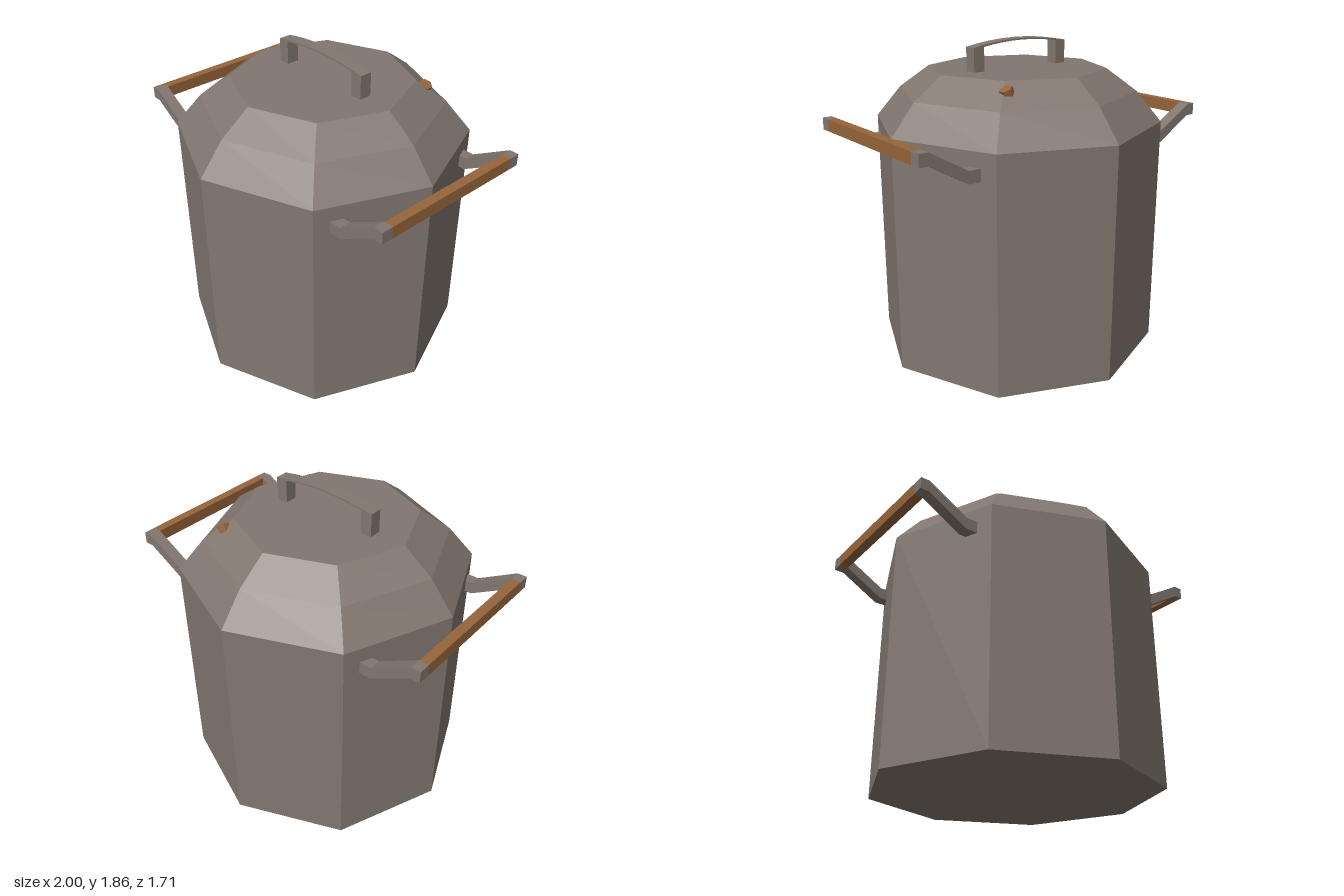
import * as THREE from 'three';

export function createModel() {
  const group = new THREE.Group();
  const material = (name, color) => {
    const m = new THREE.MeshStandardMaterial({ color, flatShading: true });
    m.name = name;
    return m;
  };
  const metal = material('warm grey metal', 0x82776f);
  const wood = material('brown wood', 0x96653b);

  const add = (name, geometry, mat, x = 0, y = 0, z = 0) => {
    const mesh = new THREE.Mesh(geometry, mat);
    mesh.name = name;
    mesh.position.set(x, y, z);
    group.add(mesh);
    return mesh;
  };
  const v = (x, y) => new THREE.Vector2(x, y);
  const extrude = (shape, depth) =>
    new THREE.ExtrudeGeometry(shape, { depth, bevelEnabled: false, curveSegments: 8 });

  // Eight-sided pot wall with its floor
  add('potBody', new THREE.LatheGeometry([v(0, 0), v(0.855, 0), v(0.855, 1.38)], 8), metal);

  // Domed lid in two slopes and a flat top
  add('lid', new THREE.LatheGeometry(
    [v(0.855, 1.38), v(0.705, 1.56), v(0.525, 1.69), v(0, 1.69)], 8), metal);

  // Lid handle: two posts and a thin arched grip
  for (const s of [-1, 1]) {
    add('lidHandlePost', new THREE.BoxGeometry(0.07, 0.14, 0.075), metal, s * 0.3, 1.757, -0.008);
  }
  const arch = new THREE.Shape();
  arch.moveTo(-0.335, 1.827);
  arch.quadraticCurveTo(0, 1.89, 0.335, 1.827);
  arch.lineTo(0.265, 1.827);
  arch.quadraticCurveTo(0, 1.871, -0.265, 1.827);
  add('lidHandleGrip', extrude(arch, 0.075), metal, 0, 0, -0.0455);

  // Side handles: bent metal arms joined by a wooden bar
  for (const s of [-1, 1]) {
    const profile = [
      [0.64, 1.225], [0.71, 1.225], [0.945, 1.36], [1, 1.36],
      [1, 1.43], [0.945, 1.43], [0.71, 1.295], [0.64, 1.295],
    ].map(([x, y]) => v(s * x, y));
    for (const z of [-0.52, 0.45]) {
      add('sideHandleArm', extrude(new THREE.Shape(profile), 0.07), metal, 0, 0, z);
    }
    add('sideHandleBar', new THREE.BoxGeometry(0.055, 0.07, 0.9), wood, s * 0.9725, 1.395, 0);
  }

  // Stirring stick leaning inside, its ends just showing through lid and floor
  const low = new THREE.Vector3(-0.4, 0.012, -0.41);
  const high = new THREE.Vector3(0.405, 1.66, -0.42);
  const stick = add('stirringStick',
    new THREE.CylinderGeometry(0.038, 0.038, low.distanceTo(high), 6), wood);
  stick.position.copy(low).add(high).multiplyScalar(0.5);
  stick.quaternion.setFromUnitVectors(
    new THREE.Vector3(0, 1, 0), high.clone().sub(low).normalize());

  return group;
}
